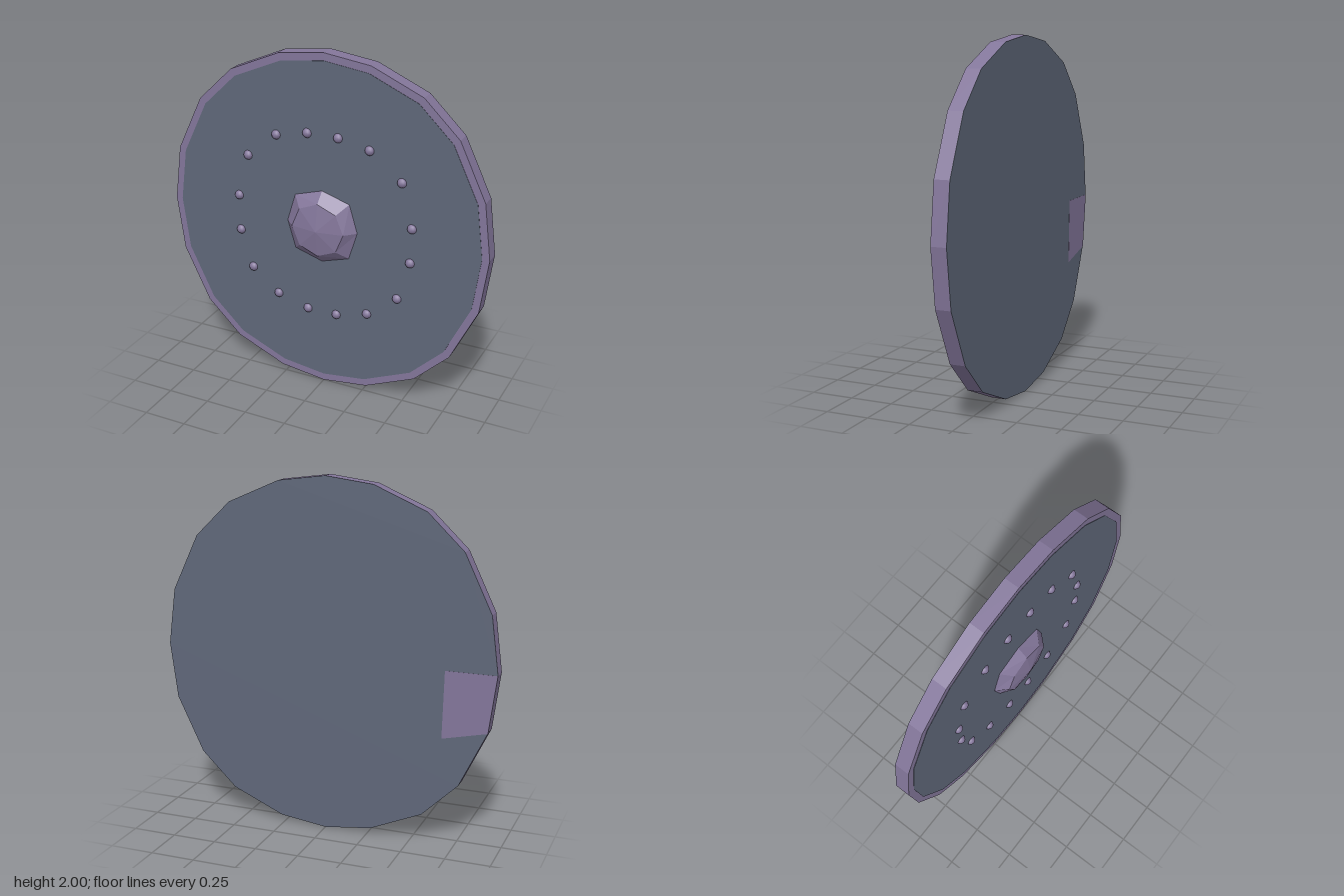
import * as THREE from 'three';

// Right half of the 20-sided outline, top to bottom, relative to the centre
const HALF = [[0, 0.998], [0.271, 0.963], [0.566, 0.835], [0.77, 0.638], [0.923, 0.32], [0.965, 0]];
// Rivet ring
const RIVETS = [[0.085, 1.54], [0.27, 1.5], [0.46, 1.35], [0.525, 1.095], [0.52, 0.89], [0.45, 0.655],
  [0.27, 0.515], [0.08, 0.465], [-0.1, 0.465], [-0.29, 0.52], [-0.455, 0.655], [-0.53, 0.88],
  [-0.535, 1.095], [-0.47, 1.35], [-0.29, 1.5], [-0.1, 1.54]];

function outline(scale) {
  const lower = HALF.slice(0, -1).reverse().map(([x, y]) => [x, -y]);
  const right = [...HALF, ...lower];
  const left = right.slice(1, -1).reverse().map(([x, y]) => [-x, y]);
  return [...right, ...left].map(([x, y]) => new THREE.Vector2(x * scale, 1 + y * scale));
}

export function createModel() {
  const group = new THREE.Group();
  const purple = new THREE.MeshStandardMaterial({ color: 0x83769a, flatShading: true });
  const rivetMat = new THREE.MeshStandardMaterial({ color: 0x83769a });
  const slate = new THREE.MeshStandardMaterial({ color: 0x5f6779, flatShading: true });

  const add = (name, geometry, material) => {
    const mesh = new THREE.Mesh(geometry, material);
    mesh.name = name;
    group.add(mesh);
    return mesh;
  };
  const slab = (name, shape, z0, z1, material) =>
    add(name, new THREE.ExtrudeGeometry(shape, { depth: z1 - z0, bevelEnabled: false }).translate(0, 0, z0), material);

  // Rim band with the front panel set inside it
  const ring = new THREE.Shape(outline(1));
  ring.holes.push(new THREE.Path(outline(0.957)));
  slab('rim', ring, -0.085, 0, purple);
  slab('frontPanel', new THREE.Shape(outline(0.957)), -0.08, 0.002, slate);

  // Back face with one pale patch at its edge
  slab('backPanel', new THREE.Shape(outline(1)), -0.087, -0.085, slate);
  const patch = [[-0.965, 1], [-0.923, 0.678], [-0.67, 0.62], [-0.68, 1]].map(p => new THREE.Vector2(...p));
  slab('backPatch', new THREE.Shape(patch), -0.088, -0.086, purple);

  // Faceted central boss, its base slightly wider on the diagonals
  const profile = [[0.217, 0], [0.157, 0.062], [0, 0.088]].map(p => new THREE.Vector2(...p));
  const dome = new THREE.LatheGeometry(profile, 8).rotateX(Math.PI / 2);
  const pos = dome.attributes.position;
  for (let i = 0; i < pos.count; i++) {
    const x = pos.getX(i), y = pos.getY(i);
    if (pos.getZ(i) < 0.01 && Math.abs(x * y) > 0.01) pos.setXY(i, x * 1.09, y * 1.08);
  }
  add('boss', dome, purple).position.set(-0.01, 1.002, 0);

  // Rivets, half sunk in the panel
  const rivet = new THREE.SphereGeometry(0.028, 12, 8);
  for (const [x, y] of RIVETS) add('rivet', rivet, rivetMat).position.set(x, y, -0.003);

  return group;
}
